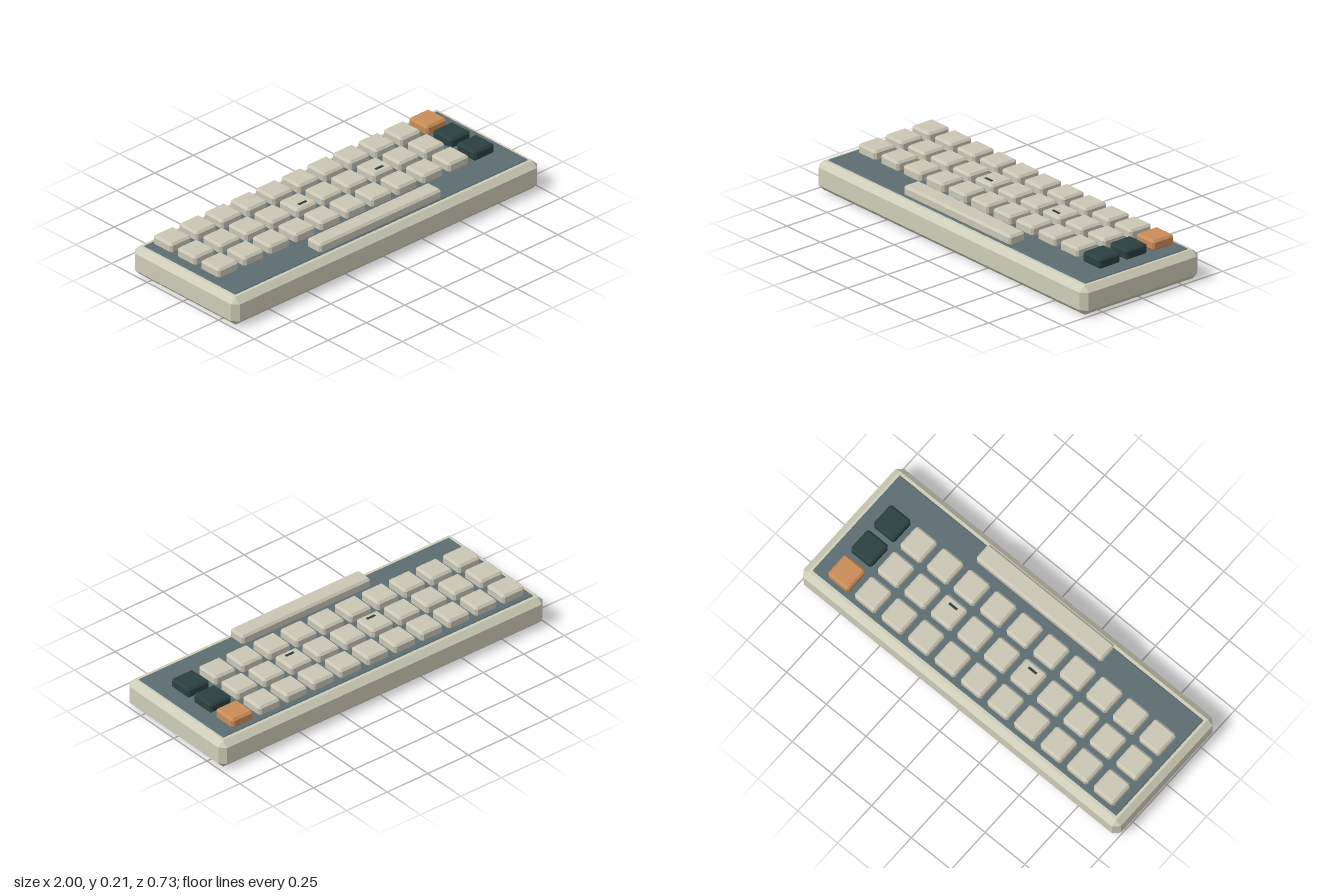
import * as THREE from 'three';
import { ConvexGeometry } from 'three/addons/geometries/ConvexGeometry.js';

// Box with every edge cut by one flat chamfer of size c
function chamferBox(w, h, d, c) {
  const pts = [];
  for (const x of [-1, 1]) for (const y of [-1, 1]) for (const z of [-1, 1]) {
    for (let a = 0; a < 3; a++) {
      const cut = [0, 1, 2].map(i => (i === a ? 0 : c));
      pts.push(new THREE.Vector3(x * (w / 2 - cut[0]), y * (h / 2 - cut[1]), z * (d / 2 - cut[2])));
    }
  }
  return new ConvexGeometry(pts);
}

function material(name, color) {
  const m = new THREE.MeshStandardMaterial({ color });
  m.name = name;
  return m;
}

export function createModel() {
  const model = new THREE.Group();
  model.name = 'keyboard';

  const caseCream = material('caseCream', 0xcecdb8);
  const keyCream = material('keyCream', 0xc9c6b5);
  const plateSlate = material('plateSlate', 0x5b6d71);
  const keyDark = material('keyDark', 0x2c4040);
  const keyOrange = material('keyOrange', 0xc98c58);

  const add = (name, geometry, mat, x, y, z) => {
    const mesh = new THREE.Mesh(geometry, mat);
    mesh.name = name;
    mesh.position.set(x, y, z);
    model.add(mesh);
  };

  // Case and the plate under the keys
  add('case', chamferBox(2, 0.152, 0.733, 0.03), caseCream, 0, 0.076, 0);
  add('plate', chamferBox(1.913, 0.02, 0.64, 0.004), plateSlate, 0, 0.147, 0);

  // Three rows of eleven keys, accents in the last column
  const pitch = 0.167;
  const keyShape = chamferBox(0.132, 0.055, 0.133, 0.011);
  for (let row = 0; row < 3; row++) {
    for (let col = 0; col < 11; col++) {
      const last = col === 10;
      const mat = !last ? keyCream : row === 0 ? keyOrange : keyDark;
      const name = !last ? 'key' : row === 0 ? 'accentKey' : 'darkKey';
      add(name, keyShape, mat, -0.854 + col * pitch, 0.1825, -0.233 + row * pitch);
    }
  }

  // Space bar
  add('spaceBar', chamferBox(0.795, 0.055, 0.098, 0.011), keyCream, -0.002, 0.1825, 0.271);

  // Homing bars on the middle row
  const bar = new THREE.BoxGeometry(0.05, 0.007, 0.012);
  for (const col of [4, 7]) add('homingBar', bar, keyDark, -0.854 + col * pitch, 0.2098, -0.036);

  return model;
}
